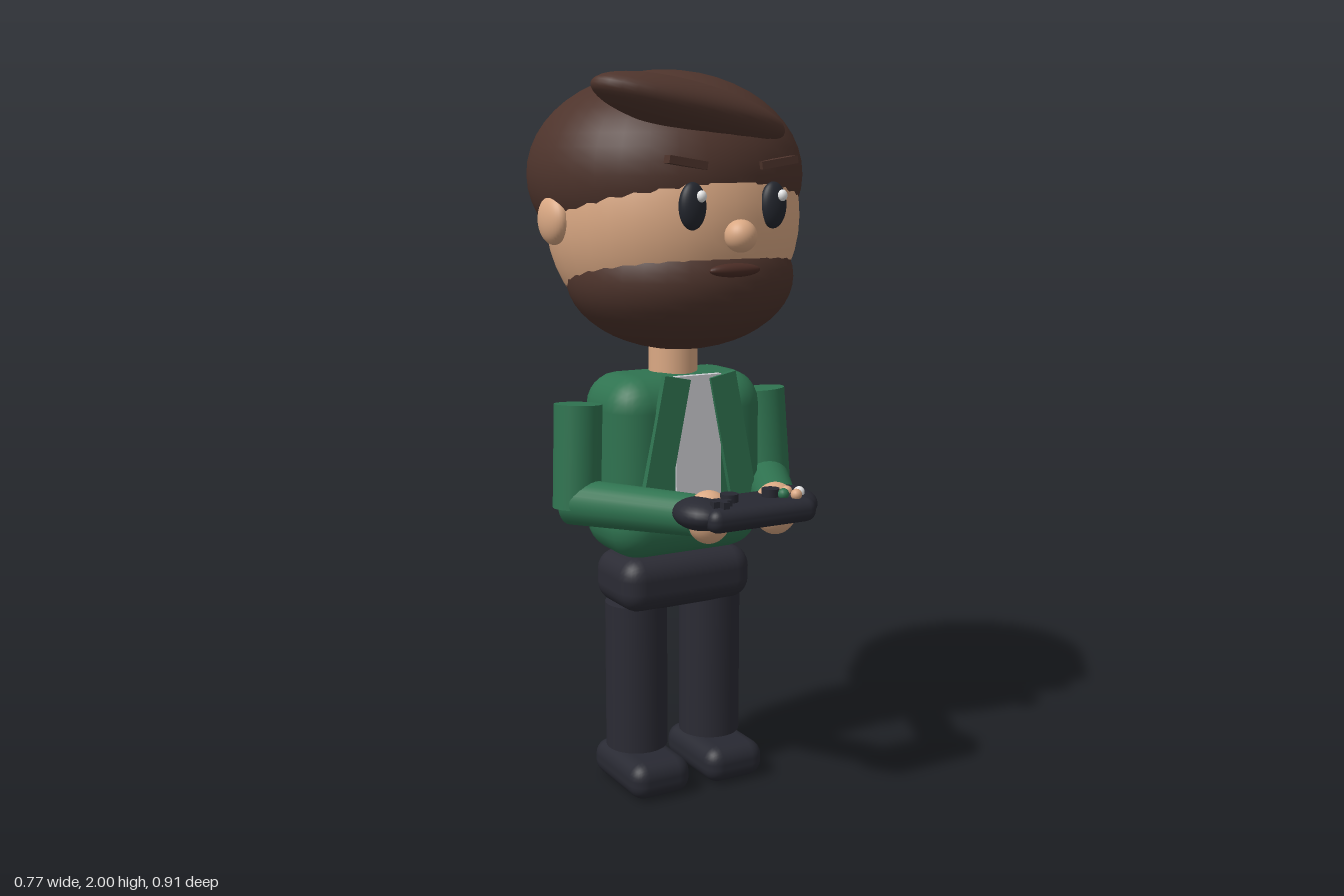
import * as THREE from 'three';
import { RoundedBoxGeometry } from 'three/addons/geometries/RoundedBoxGeometry.js';

function mat(name, color) {
  const m = new THREE.MeshStandardMaterial({ color });
  m.name = name;
  return m;
}

export function createModel() {
  const skin = mat('skin', 0xdba984);
  const brown = mat('brown hair', 0x4e342c);
  const lip = mat('lip brown', 0x4a2c25);
  const green = mat('green jacket', 0x2f7350);
  const white = mat('shirt white', 0xcfcfd4);
  const navy = mat('dark trousers', 0x2b2b34);
  const black = mat('dark gamepad', 0x282932);
  const eyeDark = mat('eye black', 0x23262e);
  const shine = mat('bright white', 0xf2f2f2);

  const model = new THREE.Group();
  model.name = 'figure';

  function add(parent, name, geometry, material, pos, rot = [0, 0, 0]) {
    const mesh = new THREE.Mesh(geometry, material);
    mesh.name = name;
    mesh.position.set(...pos);
    mesh.rotation.set(...rot);
    parent.add(mesh);
    return mesh;
  }
  const ball = (rx, ry, rz, w = 32, h = 24) => new THREE.SphereGeometry(1, w, h).scale(rx, ry, rz);
  const rbox = (w, h, d, r) => new RoundedBoxGeometry(w, h, d, 3, r);

  // Cylinder running between two points
  function limb(parent, name, a, b, ra, rb, material) {
    const p = new THREE.Vector3(...a), q = new THREE.Vector3(...b);
    const dir = q.clone().sub(p);
    const mid = p.clone().add(q).multiplyScalar(0.5);
    const mesh = add(parent, name, new THREE.CylinderGeometry(rb, ra, dir.length(), 24), material, mid.toArray());
    mesh.quaternion.setFromUnitVectors(new THREE.Vector3(0, 1, 0), dir.normalize());
  }

  const group = (name) => {
    const g = new THREE.Group();
    g.name = name;
    model.add(g);
    return g;
  };
  const head = group('head');
  const body = group('body');
  const pad = group('gamepad');

  // Head, hair cap and beard are overlapping ellipsoids
  add(head, 'skull', ball(0.35, 0.355, 0.335), skin, [0, 1.61, -0.04]);
  add(head, 'hair', ball(0.38, 0.28, 0.37), brown, [0, 1.72, -0.085]);
  add(head, 'quiff', ball(0.283, 0.066, 0.12), brown, [-0.072, 1.888, 0.185], [0, 0, -0.21]);
  add(head, 'beard', ball(0.315, 0.2, 0.295), brown, [0, 1.45, 0]);
  add(head, 'nose', ball(0.042, 0.042, 0.042), skin, [0, 1.57, 0.315]);
  add(head, 'mouth', ball(0.075, 0.018, 0.02), lip, [0, 1.482, 0.288]);
  add(body, 'neck', new THREE.CylinderGeometry(0.068, 0.068, 0.16, 24), skin, [0, 1.22, -0.04]);

  // Torso, shirt front and hips
  add(body, 'jacket', rbox(0.47, 0.51, 0.285, 0.095), green, [0, 0.93, -0.042]);
  add(body, 'shirt', new THREE.BoxGeometry(0.14, 0.41, 0.02), white, [0, 0.983, 0.097]);
  add(body, 'hips', rbox(0.41, 0.155, 0.235, 0.06), navy, [0, 0.6, -0.04]);

  // Mirrored parts
  for (const s of [1, -1]) {
    const side = s > 0 ? 'left' : 'right';
    add(head, side + 'Ear', ball(0.035, 0.066, 0.068), skin, [s * 0.35, 1.605, -0.055]);
    add(head, side + 'Eye', ball(0.038, 0.06, 0.024), eyeDark, [s * 0.12, 1.645, 0.278]);
    add(head, side + 'EyeShine', ball(0.013, 0.015, 0.012, 16, 12), shine, [s * 0.12 + 0.013, 1.67, 0.302]);
    add(head, side + 'Brow', new THREE.BoxGeometry(0.11, 0.02, 0.03), brown, [s * 0.135, 1.753, 0.272], [0, 0, s * 0.15]);

    add(body, side + 'Lapel', new THREE.BoxGeometry(0.08, 0.38, 0.02), green, [s * 0.108, 1.0, 0.106], [0, 0, s * 0.2]);
    limb(body, side + 'UpperArm', [s * 0.293, 1.112, -0.04], [s * 0.308, 0.83, -0.025], 0.066, 0.066, green);
    limb(body, side + 'Forearm', [s * 0.315, 0.845, -0.04], [s * 0.125, 0.857, 0.31], 0.064, 0.055, green);
    add(body, side + 'Hand', ball(0.06, 0.07, 0.058), skin, [s * 0.102, 0.855, 0.333]);

    limb(body, side + 'Leg', [s * 0.12, 0.11, -0.04], [s * 0.12, 0.535, -0.04], 0.088, 0.088, navy);
    add(body, side + 'Shoe', rbox(0.185, 0.105, 0.285, 0.045), black, [s * 0.12, 0.0525, -0.01]);

    add(pad, side + 'Grip', ball(0.07, 0.042, 0.085, 24, 16), black, [s * 0.135, 0.872, 0.35]);
    add(pad, side + 'Stick', new THREE.CylinderGeometry(0.024, 0.024, 0.03, 16), black, [s * 0.063, 0.905, 0.37]);
  }

  // Gamepad body and controls
  add(pad, 'padBody', rbox(0.32, 0.062, 0.177, 0.028), black, [0, 0.868, 0.3685]);
  add(pad, 'crossBarX', new THREE.BoxGeometry(0.055, 0.02, 0.018), black, [-0.11, 0.905, 0.41]);
  add(pad, 'crossBarZ', new THREE.BoxGeometry(0.018, 0.02, 0.055), black, [-0.11, 0.905, 0.41]);
  const buttons = [[0.085, 0.397, green], [0.134, 0.397, shine], [0.11, 0.375, skin], [0.11, 0.42, skin]];
  buttons.forEach(([x, z, m], i) =>
    add(pad, 'button' + (i + 1), ball(0.015, 0.015, 0.015, 16, 12), m, [x, 0.908, z]));

  return model;
}
